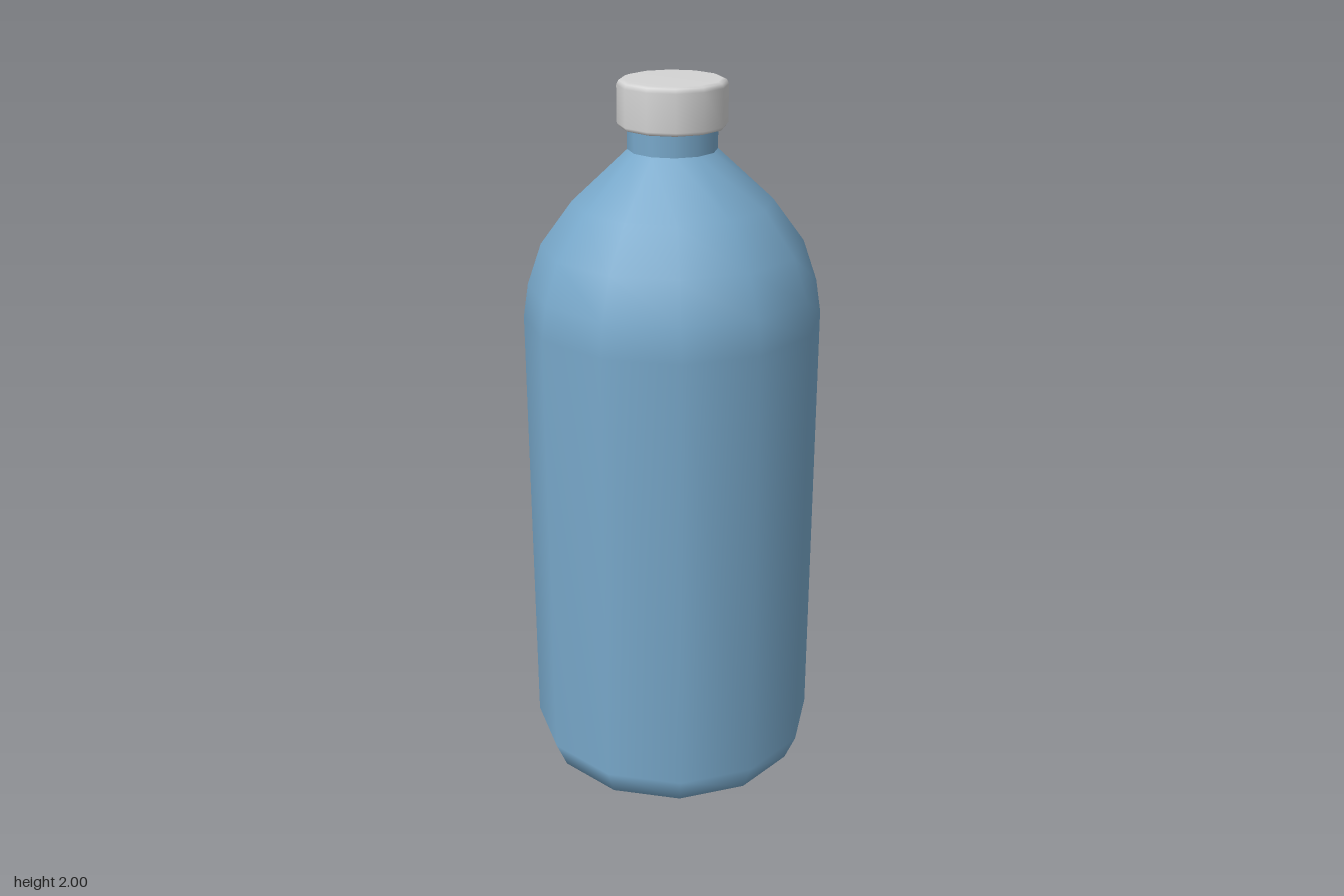
import * as THREE from 'three';

const SIDES = 12;

// Revolves [radius, height] pairs, listed from bottom to top, around the y axis.
function turned(name, profile, material) {
  const points = profile.map(([r, y]) => new THREE.Vector2(r, y));
  const mesh = new THREE.Mesh(new THREE.LatheGeometry(points, SIDES), material);
  mesh.name = name;
  return mesh;
}

export function createModel() {
  const blue = new THREE.MeshStandardMaterial({ color: 0x78a8ca });
  blue.name = 'bottle blue';
  const grey = new THREE.MeshStandardMaterial({ color: 0xd4d4d4 });
  grey.name = 'cap light grey';

  const group = new THREE.Group();
  group.name = 'bottle';

  // Flat base, rounded lower edge, straight wall and domed shoulder
  group.add(turned('body', [
    [0, 0], [0.285, 0], [0.3, 0.004], [0.37, 0.05], [0.402, 0.125],
    [0.402, 1.37], [0.388, 1.46], [0.35, 1.57], [0.265, 1.685], [0.118, 1.82],
  ], blue));

  // Straight neck running up into the cap
  group.add(turned('neck', [[0.118, 1.82], [0.118, 1.9]], blue));

  // Screw cap with small bevels and a closed underside
  group.add(turned('cap', [
    [0, 1.877], [0.13, 1.877], [0.138, 1.879], [0.144, 1.888],
    [0.144, 1.985], [0.139, 1.996], [0.128, 2], [0, 2],
  ], grey));

  return group;
}
